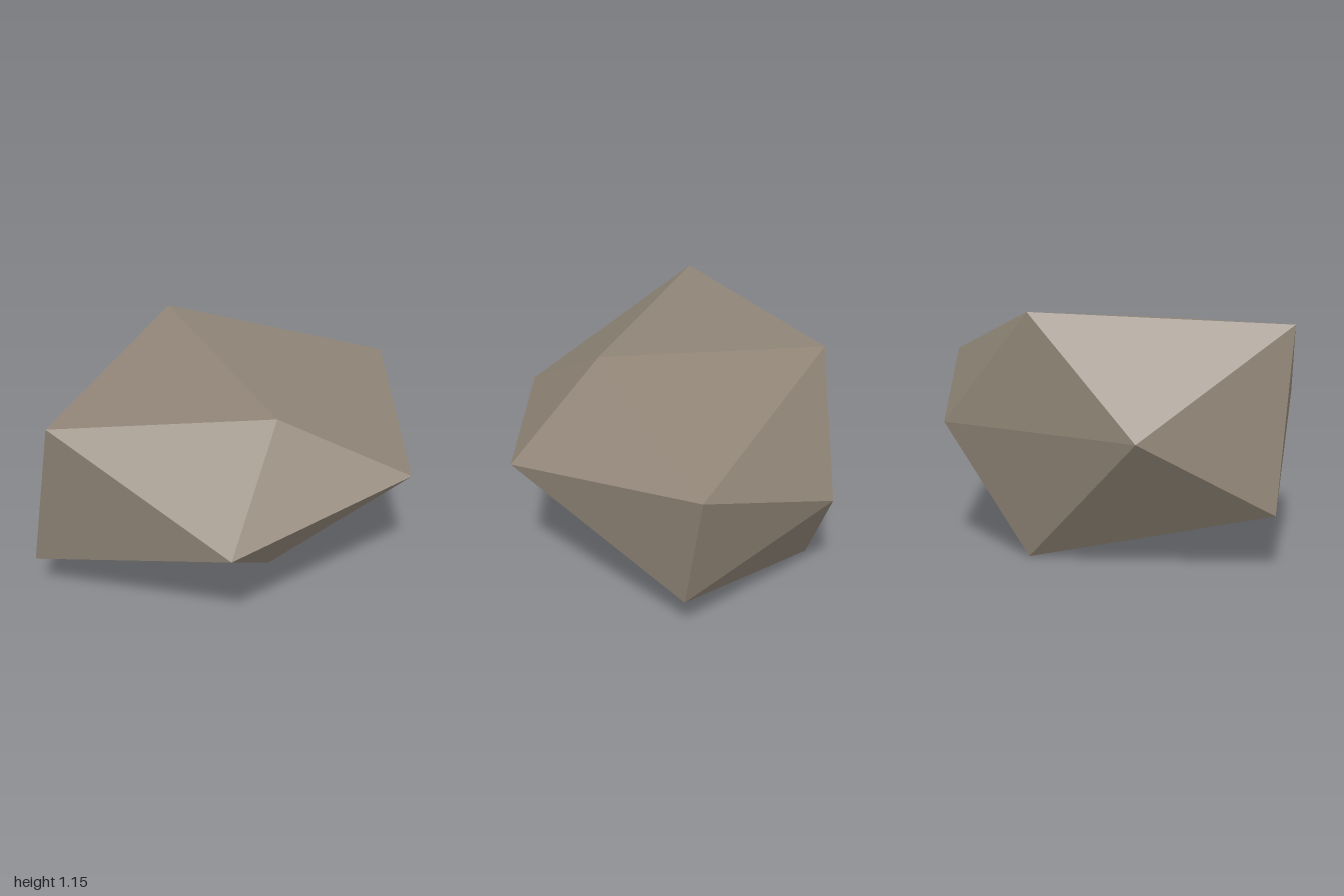
import * as THREE from 'three';

export function createModel() {
  const stone = new THREE.MeshStandardMaterial({ color: 0x8f8476 });
  stone.name = 'stone';

  // Twelve corners of an irregular, squashed icosahedron
  const corners = {
    A: [-0.97, 1.1, -0.03], D: [0.995, 0.875, -0.175], // upper sides
    G: [-1.0, 0.26, -0.22], H: [0.825, 0.22, -0.09], // lower sides
    B: [0.035, 1.15, -0.71], C: [0.01, 1.05, 0.365], // top ridge
    J: [0.07, 0.0, -0.67], I: [0.01, 0.18, 0.305], // bottom ridge
    E: [0.535, 0.76, 0.725], F: [-0.47, 0.67, 0.755], // front edge
    L: [0.525, 0.605, -0.76], K: [-0.62, 0.615, -0.75], // back edge
  };
  const faces = [
    'ABC', 'DBC', 'GIJ', 'HIJ', // beside the top and bottom ridges
    'AGF', 'AGK', 'DHE', 'DHL', // beside the side edges
    'EFC', 'EFI', 'KLB', 'KLJ', // beside the front and back edges
    'ACF', 'ABK', 'DCE', 'DBL', 'GIF', 'GJK', 'HIE', 'HJL', // corner faces
  ];

  // Separate triangles give flat facets; each one is wound to face outwards
  const centre = new THREE.Vector3(0, 0.6, 0);
  const points = [];
  for (const face of faces) {
    const [a, b, c] = [...face].map((n) => new THREE.Vector3(...corners[n]));
    const normal = b.clone().sub(a).cross(c.clone().sub(a));
    const outward = normal.dot(a.clone().sub(centre)) > 0;
    points.push(...(outward ? [a, b, c] : [a, c, b]));
  }
  const geometry = new THREE.BufferGeometry().setFromPoints(points);
  geometry.computeVertexNormals();

  const rock = new THREE.Mesh(geometry, stone);
  rock.name = 'rock';
  const group = new THREE.Group();
  group.name = 'boulder';
  group.add(rock);
  return group;
}
